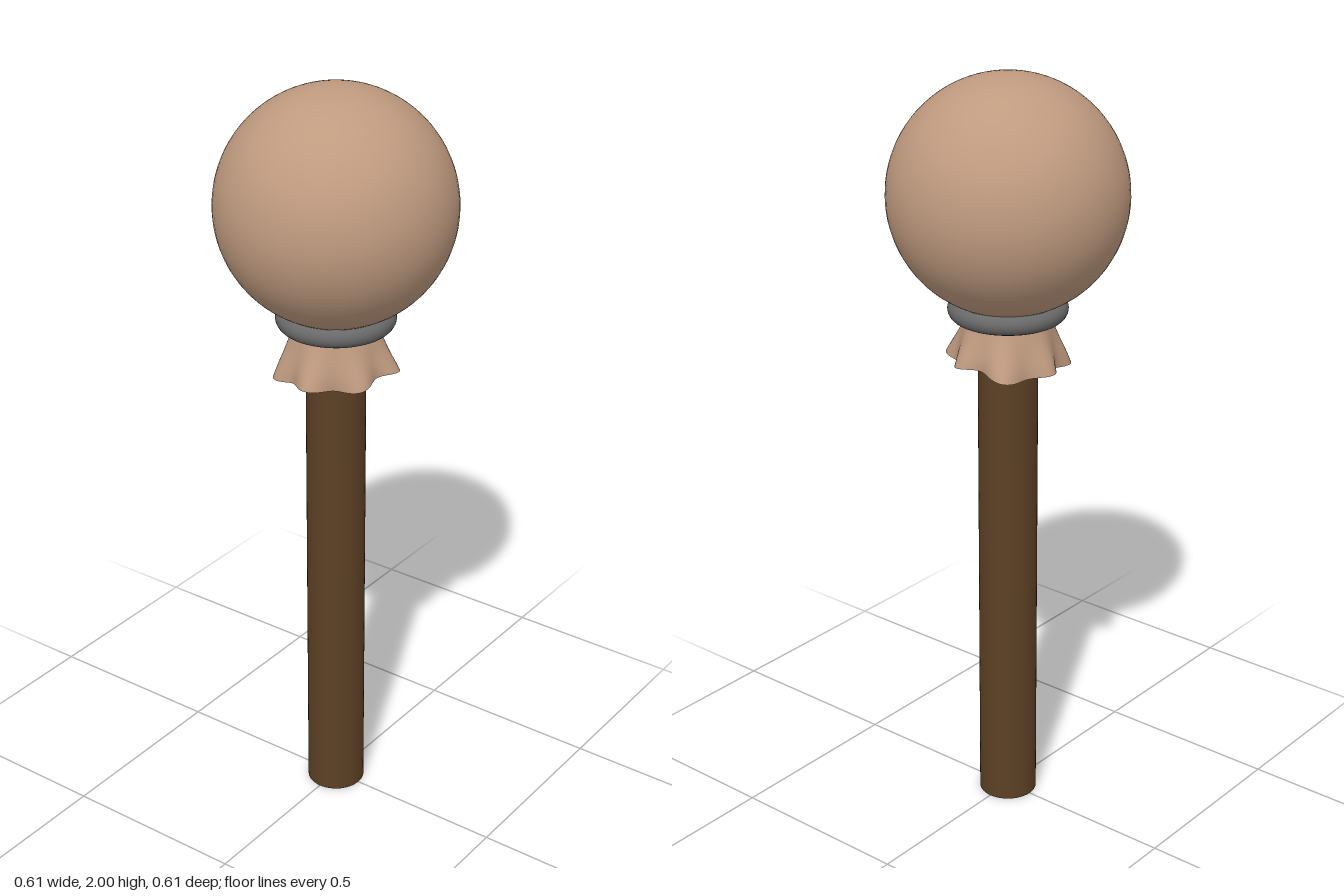
import * as THREE from 'three';

const mat = (color, side = THREE.FrontSide) => new THREE.MeshStandardMaterial({ color, side, roughness: 0.85 });

// Flared cloth skirt: a lathe whose ripples grow towards the hem
function skirtGeometry() {
  const top = 1.42, hem = 1.262;
  const profile = new THREE.SplineCurve([
    new THREE.Vector2(0.146, hem), new THREE.Vector2(0.139, 1.29), new THREE.Vector2(0.123, 1.335),
    new THREE.Vector2(0.109, 1.38), new THREE.Vector2(0.105, top),
  ]).getPoints(14);
  const geo = new THREE.LatheGeometry(profile, 112);
  const p = geo.attributes.position;
  for (let i = 0; i < p.count; i++) {
    const x = p.getX(i), y = p.getY(i), z = p.getZ(i);
    const a = Math.atan2(z, x);
    const t = (top - y) / (top - hem);
    const wave = 0.8 * Math.cos(7 * a + 2.6) + 0.3 * Math.cos(3 * a + 0.6);
    const s = 1 + 0.13 * t * t * wave;
    const drop = t * t * (0.006 * Math.cos(4 * a) - 0.009 * Math.cos(a - 2.3));
    p.setXYZ(i, x * s, y + drop, z * s);
  }
  geo.computeVertexNormals();
  // Blend the normals across the lathe seam
  const n = geo.attributes.normal, rows = profile.length;
  for (let j = 0; j < rows; j++) {
    const k = n.count - rows + j;
    const v = new THREE.Vector3().fromBufferAttribute(n, j)
      .add(new THREE.Vector3().fromBufferAttribute(n, k)).normalize();
    n.setXYZ(j, v.x, v.y, v.z);
    n.setXYZ(k, v.x, v.y, v.z);
  }
  return geo;
}

export function createModel() {
  const group = new THREE.Group();
  const add = (name, geo, material, y = 0) => {
    const mesh = new THREE.Mesh(geo, material);
    mesh.name = name;
    mesh.position.y = y;
    group.add(mesh);
    return mesh;
  };

  // Wooden handle
  add('handle', new THREE.CylinderGeometry(0.077, 0.077, 1.42, 48), mat(0x5c4024), 0.71);

  // Padded cloth head
  add('head', new THREE.SphereGeometry(0.303, 64, 48), mat(0xbf9a7f), 1.697);

  // Gathered cloth below the binding
  add('skirt', skirtGeometry(), mat(0xbf9a7f, THREE.DoubleSide));

  // Binding ring around the neck
  add('binding', new THREE.TorusGeometry(0.124, 0.029, 20, 64).rotateX(Math.PI / 2), mat(0x6a6a6a), 1.404);

  return group;
}
